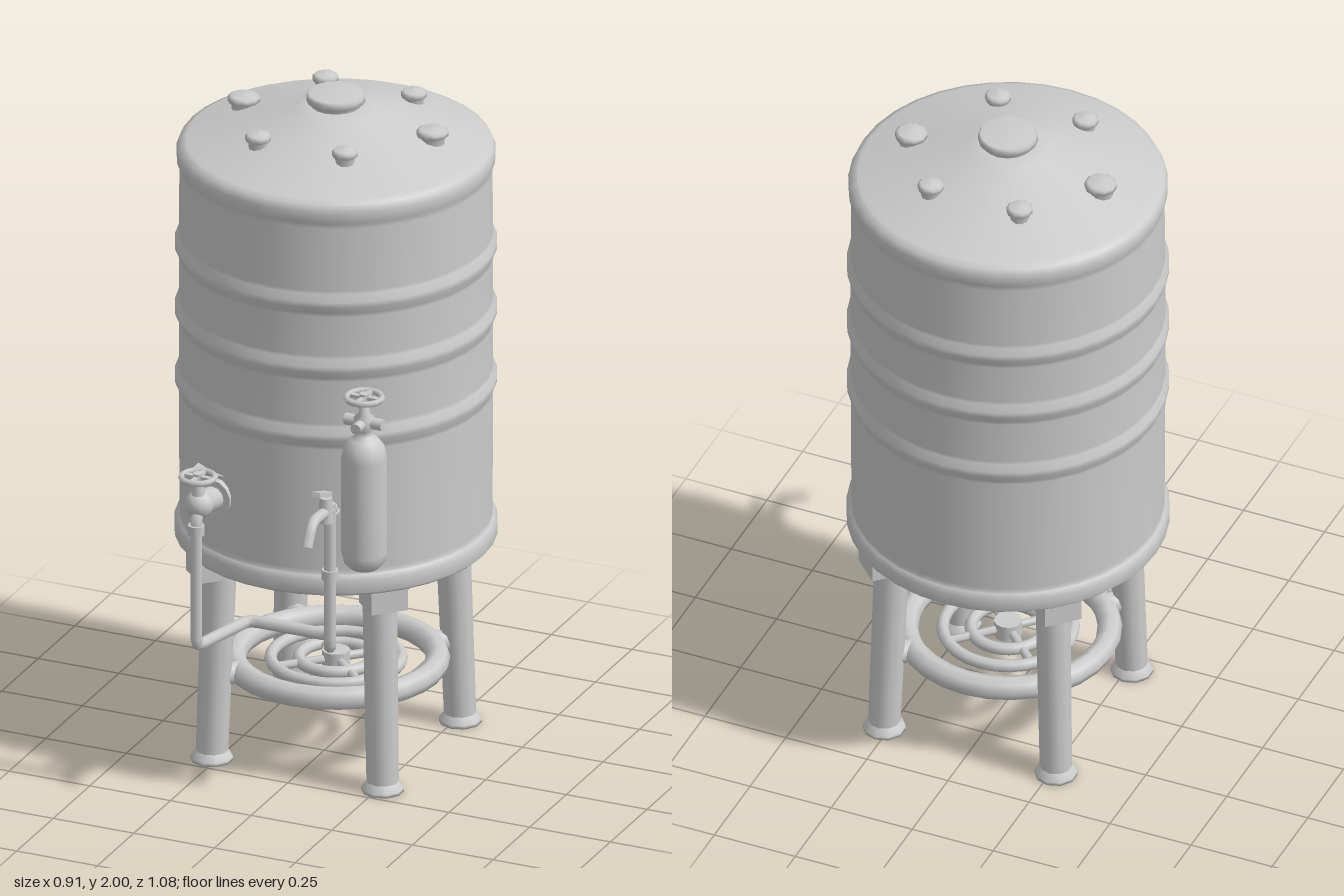
import * as THREE from 'three';

const CZ = -0.08; // tank axis
const V = (x, y, z) => new THREE.Vector3(x, y, z);

export function createModel() {
  const model = new THREE.Group();
  const grey = new THREE.MeshStandardMaterial({ color: 0xcccccc });

  function add(name, geo, x = 0, y = 0, z = 0, parent = model) {
    const m = new THREE.Mesh(geo, grey);
    m.name = name;
    m.position.set(x, y, z);
    parent.add(m);
    return m;
  }
  const lathe = (pts, seg) =>
    new THREE.LatheGeometry(pts.map(p => new THREE.Vector2(p[0], p[1])), seg);

  // Cylinder running between two points
  function rod(name, a, b, ra, rb = ra, seg = 10, parent = model) {
    const m = add(name, new THREE.CylinderGeometry(rb, ra, a.distanceTo(b), seg), 0, 0, 0, parent);
    m.position.copy(a).lerp(b, 0.5);
    m.quaternion.setFromUnitVectors(V(0, 1, 0), b.clone().sub(a).normalize());
    return m;
  }

  // Pipe with straight runs and rounded bends
  function pipe(name, pts, r, bend = 0.04) {
    const path = new THREE.CurvePath();
    let last = pts[0];
    for (let i = 1; i < pts.length - 1; i++) {
      const p = pts[i];
      const inn = p.clone().add(pts[i - 1].clone().sub(p).setLength(bend));
      const out = p.clone().add(pts[i + 1].clone().sub(p).setLength(bend));
      path.add(new THREE.LineCurve3(last, inn));
      path.add(new THREE.QuadraticBezierCurve3(inn, p, out));
      last = out;
    }
    path.add(new THREE.LineCurve3(last, pts[pts.length - 1]));
    return add(name, new THREE.TubeGeometry(path, 64, r, 8));
  }

  // Hand wheel with hub and crossed spokes
  function handWheel(name, x, y, z, r) {
    const g = new THREE.Group();
    g.name = name;
    g.position.set(x, y, z);
    add('wheelRim', new THREE.TorusGeometry(r - 0.009, 0.009, 6, 14), 0, 0, 0, g).rotation.x = Math.PI / 2;
    for (const a of [0, Math.PI / 2])
      add('wheelSpoke', new THREE.BoxGeometry(2 * r - 0.02, 0.01, 0.014), 0, 0, 0, g).rotation.y = a;
    add('wheelHub', new THREE.CylinderGeometry(0.014, 0.014, 0.025, 8), 0, 0, 0, g);
    model.add(g);
  }

  // Tank shell with bottom rim, three raised bands and shoulder
  const shell = [[0, 0.655], [0.425, 0.655], [0.43, 0.645], [0.447, 0.642], [0.457, 0.652],
    [0.457, 0.69], [0.447, 0.704], [0.443, 0.708], [0.443, 0.72]];
  for (const y of [1.13, 1.34, 1.54])
    shell.push([0.445, y - 0.04], [0.446, y - 0.03], [0.456, y - 0.008], [0.456, y + 0.008], [0.446, y + 0.03], [0.445, y + 0.04]);
  shell.push([0.443, 1.77], [0.443, 1.785], [0.45, 1.795], [0.452, 1.825], [0.443, 1.845], [0.425, 1.853]);
  add('tankShell', lathe(shell, 36), 0, 0, CZ);

  // Conical lid and central cap
  add('lid', lathe([[0.428, 1.852], [0.415, 1.857], [0.11, 1.952], [0.08, 1.96], [0, 1.965]], 36), 0, 0, CZ);
  add('lidCap', lathe([[0.072, 1.94], [0.072, 1.968], [0.084, 1.974], [0.084, 1.99], [0.078, 1.998], [0, 2]], 16), 0, 0, CZ);

  // Six small lid ports
  for (const [x, z, r] of [[-0.295, -0.1, 0.046], [0.29, -0.1, 0.046], [-0.137, -0.31, 0.037],
    [0.137, -0.31, 0.037], [-0.137, 0.15, 0.037], [0.132, 0.15, 0.037]]) {
    const y = 1.985 - 0.31 * Math.hypot(x, z - CZ);
    add('lidPort', lathe([[r * 0.75, -0.02], [r * 0.75, 0.012], [r, 0.017], [r, 0.03], [r * 0.8, 0.036], [0, 0.04]], 10), x, y, z);
  }

  // Four splayed legs with brackets and feet
  for (const sx of [-1, 1]) for (const sz of [-1, 1]) {
    const at = (d, y) => V(sx * d, y, CZ + sz * d);
    rod('leg', at(0.265, 0.01), at(0.247, 0.65), 0.046, 0.05, 10);
    add('foot', lathe([[0, 0], [0.061, 0], [0.061, 0.01], [0.046, 0.03]], 10), sx * 0.265, 0, CZ + sz * 0.265);
    const b = add('legBracket', new THREE.BoxGeometry(0.11, 0.08, 0.1), sx * 0.27, 0.61, CZ + sz * 0.27);
    b.rotation.y = sx * sz * Math.PI / 4;
  }

  // Lower brace ring with burner rings and spokes
  for (const [name, r, t] of [['braceRing', 0.288, 0.035], ['burnerRing', 0.185, 0.018], ['burnerRing', 0.105, 0.018]])
    add(name, new THREE.TorusGeometry(r, t, 8, 28), 0, 0.255, CZ).rotation.x = Math.PI / 2;
  add('burnerHub', new THREE.CylinderGeometry(0.04, 0.04, 0.05, 12), 0, 0.255, CZ);
  for (let i = 0; i < 4; i++) {
    const a = Math.PI / 4 + i * Math.PI / 2, c = Math.cos(a), s = Math.sin(a);
    rod('burnerSpoke', V(0, 0.255, CZ), V(c * 0.19, 0.255, CZ + s * 0.19), 0.013, 0.013, 6);
    rod('braceStub', V(c * 0.28, 0.255, CZ + s * 0.28), V(c * 0.36, 0.255, CZ + s * 0.36), 0.034, 0.034, 8);
  }

  // Gas bottle with valve, wheel and wall strap
  const bx = 0.277, bz = 0.338;
  add('gasBottle', lathe([[0, 0.75], [0.04, 0.752], [0.058, 0.77], [0.065, 0.8], [0.065, 1.09], [0.058, 1.125],
    [0.04, 1.148], [0.022, 1.158], [0.02, 1.175], [0.03, 1.18], [0.03, 1.215], [0.016, 1.225], [0.012, 1.28], [0, 1.28]], 16), bx, 0, bz);
  rod('bottleValve', V(bx - 0.058, 1.2, bz), V(bx + 0.058, 1.2, bz), 0.017);
  rod('bottleOutlet', V(bx, 1.2, bz), V(bx, 1.2, bz + 0.06), 0.016);
  handWheel('bottleWheel', bx, 1.275, bz, 0.06);
  for (const y of [0.86, 1.06]) add('bottleStrap', new THREE.BoxGeometry(0.05, 0.03, 0.09), bx - 0.02, y, bz - 0.06);

  // Outlet valve: wall plate, flange, body, stem and wheel
  add('valvePlate', new THREE.BoxGeometry(0.13, 0.13, 0.06), -0.2, 0.885, 0.305);
  rod('valveFlange', V(-0.19, 0.885, 0.33), V(-0.19, 0.885, 0.355), 0.058, 0.058, 14);
  rod('valveNeck', V(-0.187, 0.885, 0.35), V(-0.187, 0.9, 0.42), 0.036, 0.036, 12);
  add('valveBody', new THREE.SphereGeometry(0.042, 12, 8), -0.185, 0.905, 0.445);
  rod('valveStem', V(-0.185, 0.91, 0.45), V(-0.185, 0.995, 0.455), 0.024, 0.012);
  handWheel('valveWheel', -0.185, 0.992, 0.455, 0.057);

  // Pipe looping from the valve, under the tank and up to the tap
  pipe('loopPipe', [V(-0.185, 0.9, 0.44), V(-0.18, 0.88, 0.478), V(-0.18, 0.48, 0.478), V(-0.12, 0.48, 0.25),
    V(0.13, 0.48, 0.25), V(0.18, 0.49, 0.358), V(0.18, 0.94, 0.358)], 0.018, 0.022);
  for (const [x, y, z] of [[-0.18, 0.84, 0.478], [0.18, 0.72, 0.358]])
    add('pipeCollar', new THREE.CylinderGeometry(0.024, 0.024, 0.03, 10), x, y, z);
  rod('pipeBracket', V(0.18, 0.9, 0.28), V(0.18, 0.9, 0.36), 0.014);

  // Tap with curved spout and lever
  pipe('tapSpout', [V(0.18, 0.92, 0.34), V(0.184, 0.935, 0.49), V(0.184, 0.87, 0.525)], 0.017, 0.035);
  rod('tapBody', V(0.182, 0.895, 0.39), V(0.182, 0.97, 0.39), 0.022, 0.018);
  add('tapLever', new THREE.BoxGeometry(0.024, 0.014, 0.09), 0.182, 0.99, 0.415).rotation.x = -0.35;

  return model;
}
